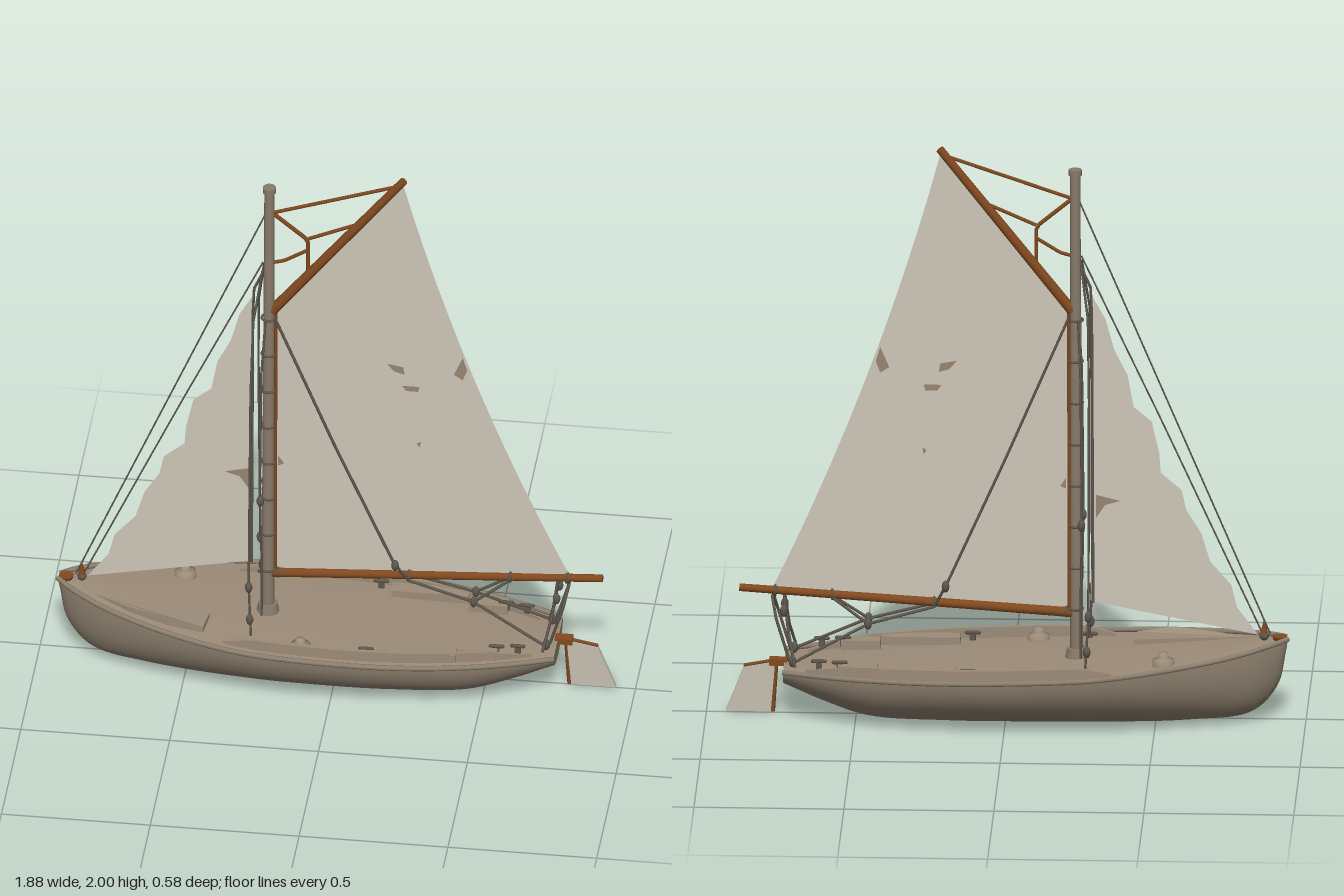
import * as THREE from 'three';
import { toCreasedNormals } from 'three/addons/utils/BufferGeometryUtils.js';

const mat = (name, color, side = THREE.FrontSide) => {
  const m = new THREE.MeshStandardMaterial({ color, side });
  m.name = name;
  return m;
};
const V = (x, y, z = 0) => new THREE.Vector3(x, y, z);

export function createModel() {
  const boat = new THREE.Group();
  boat.name = 'sailboat';
  const hullPaint = mat('hullPaint', 0x8b7e6d);
  const deckWood = mat('deckWood', 0x9c8b78);
  const mastWood = mat('mastWood', 0x877a6a);
  const sparWood = mat('sparWood', 0x80491f);
  const ropeGrey = mat('ropeGrey', 0x5d574d);
  const canvas = mat('canvas', 0xcdc5b8, THREE.DoubleSide);
  const stain = mat('stain', 0x96866f, THREE.DoubleSide);
  const rudderPaint = mat('rudderPaint', 0xc4bdb0);

  const add = (name, geo, material, x = 0, y = 0, z = 0) => {
    const m = new THREE.Mesh(geo, material);
    m.name = name;
    m.position.set(x, y, z);
    boat.add(m);
    return m;
  };

  // Surface from a rule f(i, j) on an n by k grid
  const grid = (n, k, f) => {
    const pos = [], idx = [];
    for (let i = 0; i <= n; i++) for (let j = 0; j <= k; j++) pos.push(...f(i / n, j / k).toArray());
    for (let i = 0; i < n; i++) for (let j = 0; j < k; j++) {
      const a = i * (k + 1) + j, b = a + k + 1;
      idx.push(a, a + 1, b, a + 1, b + 1, b);
    }
    const g = new THREE.BufferGeometry();
    g.setAttribute('position', new THREE.Float32BufferAttribute(pos, 3));
    g.setIndex(idx);
    g.computeVertexNormals();
    return g;
  };

  // Rope through points; sides lists the z signs to build
  const rope = (name, pts, r = 0.004, material = ropeGrey, sides = [1]) => {
    for (const s of sides) {
      const path = new THREE.CurvePath();
      const p = pts.map(([x, y, z = 0]) => V(x, y, z * s));
      for (let i = 1; i < p.length; i++) path.add(new THREE.LineCurve3(p[i - 1], p[i]));
      add(name, new THREE.TubeGeometry(path, (p.length - 1) * 6, r, 6), material);
    }
  };
  // Straight round spar between two points
  const spar = (name, a, b, r0, r1, material, sides = 12) => {
    const d = b.clone().sub(a);
    const m = add(name, new THREE.CylinderGeometry(r1, r0, d.length(), sides), material);
    m.position.copy(a).addScaledVector(d, 0.5);
    m.quaternion.setFromUnitVectors(V(0, 1, 0), d.normalize());
  };
  const flat = pts => new THREE.Shape(pts.map(p => new THREE.Vector2(...p)));
  const both = [1, -1];

  // Hull rails, bow to stern
  const sheer = new THREE.CatmullRomCurve3([
    [-0.94, 0.285, 0.012], [-0.88, 0.277, 0.065], [-0.76, 0.26, 0.135], [-0.56, 0.238, 0.212], [-0.3, 0.215, 0.268],
    [-0.05, 0.205, 0.28], [0.2, 0.197, 0.268], [0.42, 0.19, 0.23], [0.6, 0.185, 0.178], [0.74, 0.182, 0.125]].map(p => V(...p)));
  const keel = new THREE.CatmullRomCurve3([
    [-0.935, 0.25], [-0.905, 0.12], [-0.82, 0.03], [-0.62, 0.005], [-0.3, 0], [-0.05, 0],
    [0.2, 0], [0.46, 0.01], [0.6, 0.055], [0.74, 0.115]].map(p => V(...p)));
  const section = (u, v) => {
    const s = sheer.getPoint(u), k = keel.getPoint(u), w = Math.sin(v * Math.PI);
    return V(s.x + (k.x - s.x) * w, Math.max(0, s.y + (k.y - s.y) * w), s.z * Math.cos(v * Math.PI));
  };
  add('hull', grid(60, 28, section), hullPaint);
  add('transom', grid(1, 28, (u, v) => section(1, v).lerp(V(0.74, 0.182, 0), u)), hullPaint);

  // Cambered deck, gunwales and cockpit coamings
  add('deck', grid(50, 8, (u, v) => {
    const s = sheer.getPoint(u), w = 2 * v - 1;
    return V(s.x, s.y - 0.008 + 0.008 * (1 - w * w), s.z * w);
  }), deckWood);
  for (const s of both) {
    const rail = new THREE.CatmullRomCurve3(sheer.getPoints(30).map(p => V(p.x, p.y, p.z * s)));
    add('gunwale', new THREE.TubeGeometry(rail, 60, 0.009, 8), hullPaint);
    const coaming = grid(30, 3, (u, v) => {
      const p = sheer.getPoint(0.42 + 0.52 * u), e = Math.min(1, u * 12, (1 - u) * 4);
      const outer = v < 0.5, top = v > 0.2 && v < 0.8;
      const z = p.z - (outer ? 0.04 : 0.054);
      return V(p.x, p.y + (top ? 0.004 + 0.028 * e : -0.02), (s > 0 ? z : -z));
    });
    if (s > 0) coaming.setIndex([...coaming.index.array].reverse());
    add('coaming', toCreasedNormals(coaming, 0.6), deckWood);

    // Cockpit seats, stern lockers and cleats
    add('seat', new THREE.BoxGeometry(0.26, 0.03, 0.05), deckWood, 0.29, 0.205, s * 0.175);
    add('sternLocker', new THREE.BoxGeometry(0.13, 0.035, 0.05), deckWood, 0.49, 0.2, s * 0.135);
    for (const [x, z] of [[-0.27, 0.205], [0.12, 0.2], [0.55, 0.13], [0.62, 0.12]]) {
      add('cleatBar', new THREE.CapsuleGeometry(0.007, 0.04, 3, 6).rotateZ(Math.PI / 2), ropeGrey, x, 0.222, s * z);
      add('cleatFoot', new THREE.BoxGeometry(0.02, 0.03, 0.012), ropeGrey, x, 0.207, s * z);
    }
  }

  // Foredeck locker
  const locker = flat([[-0.8, -0.065], [-0.68, -0.125], [-0.55, -0.165], [-0.43, -0.175], [-0.42, -0.09]]);
  const lockerGeo = new THREE.ExtrudeGeometry(locker, { depth: 0.065, bevelEnabled: false }).rotateX(-Math.PI / 2);
  const lp = lockerGeo.attributes.position;
  for (let i = 0; i < lp.count; i++) if (lp.getY(i) > 0.03 && lp.getX(i) > -0.45) lp.setY(i, 0.042);
  lockerGeo.computeVertexNormals();
  add('foredeckLocker', lockerGeo, deckWood, 0, 0.2, 0);

  // Round deck vents and mast collar
  const knob = [[0, 0.035], [0.014, 0.032], [0.018, 0.02], [0.022, 0.012], [0.036, 0.008], [0.038, -0.015]]
    .reverse().map(p => new THREE.Vector2(...p));
  add('vent', new THREE.LatheGeometry(knob, 16), deckWood, -0.53, 0.24, -0.135);
  add('vent', new THREE.LatheGeometry(knob, 16), deckWood, -0.1, 0.21, 0.2);
  add('mastCollar', new THREE.CylinderGeometry(0.032, 0.04, 0.04, 16), mastWood, -0.235, 0.222, 0);

  // Bow cap and fitting
  add('bowCap', new THREE.CylinderGeometry(0.026, 0.02, 0.016, 10), sparWood, -0.912, 0.284, 0);
  add('bowFitting', new THREE.ConeGeometry(0.014, 0.06, 8), sparWood, -0.86, 0.325, 0);
  add('bowBlock', new THREE.SphereGeometry(0.016, 10, 8), ropeGrey, -0.86, 0.292, 0);

  // Mast with hoops
  spar('mast', V(-0.235, 0.2), V(-0.23, 1.91), 0.022, 0.017, mastWood, 16);
  add('mastCap', new THREE.CylinderGeometry(0.022, 0.022, 0.02, 16), mastWood, -0.23, 1.912, 0);
  for (let y = 0.38; y < 1.42; y += 0.145)
    add('mastHoop', new THREE.TorusGeometry(0.023, 0.004, 6, 16).rotateX(Math.PI / 2), ropeGrey, -0.233, y, 0);
  spar('luffBatten', V(-0.21, 0.36), V(-0.208, 1.42), 0.006, 0.006, sparWood, 6);

  // Boom and gaff
  spar('boom', V(-0.23, 0.365), V(0.89, 0.438), 0.017, 0.013, sparWood);
  spar('gaff', V(-0.22, 1.425), V(0.222, 1.988), 0.018, 0.014, sparWood);
  for (const [x, y] of [[-0.2, 0.368], [0.24, 0.396], [0.58, 0.418], [0.77, 0.43]])
    add('boomBand', new THREE.TorusGeometry(0.016, 0.005, 6, 12).rotateY(Math.PI / 2), ropeGrey, x, y, 0);

  // Mainsail with concave leech
  const main = new THREE.Shape();
  main.moveTo(-0.205, 0.37);
  main.lineTo(0.78, 0.437);
  main.quadraticCurveTo(0.43, 1.17, 0.22, 1.97);
  main.lineTo(-0.205, 1.43);
  add('mainsail', new THREE.ShapeGeometry(main, 20), canvas);

  // Jib with ragged luff
  add('jib', new THREE.ShapeGeometry(flat([[-0.84, 0.295], [-0.285, 0.405], [-0.285, 1.48], [-0.33, 1.4], [-0.36, 1.29],
    [-0.405, 1.2], [-0.425, 1.09], [-0.485, 1.04], [-0.51, 0.93], [-0.515, 0.86], [-0.585, 0.8], [-0.6, 0.73],
    [-0.65, 0.65], [-0.68, 0.55], [-0.75, 0.47], [-0.77, 0.39]])), canvas);

  // Worn spots on both faces of the sails
  const spots = [
    [[0.165, 1.245], [0.22, 1.235], [0.225, 1.205], [0.19, 1.215]], [[0.215, 1.16], [0.275, 1.16], [0.27, 1.14], [0.23, 1.14]],
    [[0.39, 1.22], [0.42, 1.29], [0.435, 1.24], [0.42, 1.2]], [[0.265, 0.93], [0.28, 0.94], [0.275, 0.915]],
    [[-0.38, 0.76], [-0.3, 0.78], [-0.3, 0.7], [-0.33, 0.745]], [[-0.2, 0.8], [-0.2, 0.84], [-0.18, 0.81]]];
  for (const p of spots) for (const s of both) add('wornSpot', new THREE.ShapeGeometry(flat(p)), stain, 0, 0, 0.003 * s);

  // Peak halyard
  rope('peakHalyard', [[-0.22, 1.82], [0.205, 1.965]], 0.006, sparWood);
  rope('halyardBridle', [[-0.22, 1.82], [-0.1, 1.72], [-0.1, 1.59]], 0.007, sparWood);
  rope('halyardBridle', [[-0.1, 1.725], [0.07, 1.8]], 0.006, sparWood);
  rope('halyardBridle', [[-0.1, 1.68], [-0.18, 1.63], [-0.235, 1.615]], 0.006, sparWood);

  // Stays and shrouds
  rope('forestay', [[-0.88, 0.3], [-0.24, 1.82]], 0.003);
  rope('jibStay', [[-0.85, 0.31], [-0.52, 1.04], [-0.25, 1.62]], 0.003);
  rope('jibHalyard', [[-0.29, 0.4], [-0.285, 1.5], [-0.24, 1.6]], 0.005);
  rope('shroud', [[-0.25, 1.6, 0.025], [-0.275, 1.42, 0.07], [-0.28, 1.15, 0.102], [-0.28, 0.8, 0.125],
    [-0.28, 0.4, 0.15], [-0.27, 0.22, 0.17]], 0.004, ropeGrey, both);
  rope('innerShroud', [[-0.24, 1.4, 0.02], [-0.25, 1.2, 0.055], [-0.255, 0.7, 0.06], [-0.25, 0.42, 0.04],
    [-0.25, 0.22, 0.05]], 0.004, ropeGrey, both);

  // Lazy jacks and mainsheet
  rope('lazyJack', [[-0.21, 1.41, 0.02], [0.0, 0.92, 0.05], [0.2, 0.47, 0.06], [0.24, 0.385, 0.02]], 0.005, ropeGrey, both);
  rope('mainsheet', [[0.24, 0.385, 0.02], [0.46, 0.325, 0.03], [0.71, 0.2, 0.08]], 0.005, ropeGrey, both);
  rope('sheetBridle', [[0.46, 0.325, 0.03], [0.58, 0.41, 0.01]], 0.005, ropeGrey, both);
  rope('sternSheet', [[0.78, 0.42, 0.02], [0.765, 0.35, 0.06], [0.72, 0.2, 0.06]], 0.005, ropeGrey, both);
  rope('sternSheet', [[0.74, 0.42, 0.015], [0.725, 0.3, 0.04], [0.7, 0.19, 0.1]], 0.005, ropeGrey, both);
  for (const s of both) for (const [x, y, z] of [[-0.28, 0.4, 0.15], [-0.275, 0.28, 0.163], [0.2, 0.47, 0.06],
    [0.46, 0.325, 0.03], [0.74, 0.37, 0.04], [0.71, 0.205, 0.075], [-0.253, 0.69, 0.06]])
    add('block', new THREE.SphereGeometry(0.013, 8, 6).scale(1, 1.6, 1), ropeGrey, x, y, z * s);

  // Rudder with wooden post and head
  const blade = flat([[0.77, 0.18], [0.875, 0.16], [0.935, 0.005], [0.785, 0.005]]);
  add('rudder', new THREE.ExtrudeGeometry(blade, { depth: 0.016, bevelEnabled: false }), rudderPaint, 0, 0, -0.008);
  spar('rudderPost', V(0.768, 0.185), V(0.78, 0.005), 0.009, 0.009, sparWood, 8);
  add('rudderHead', new THREE.BoxGeometry(0.06, 0.022, 0.035), sparWood, 0.76, 0.18, 0);
  rope('rudderTrim', [[0.77, 0.184], [0.875, 0.164]], 0.006, sparWood);
  return boat;
}
